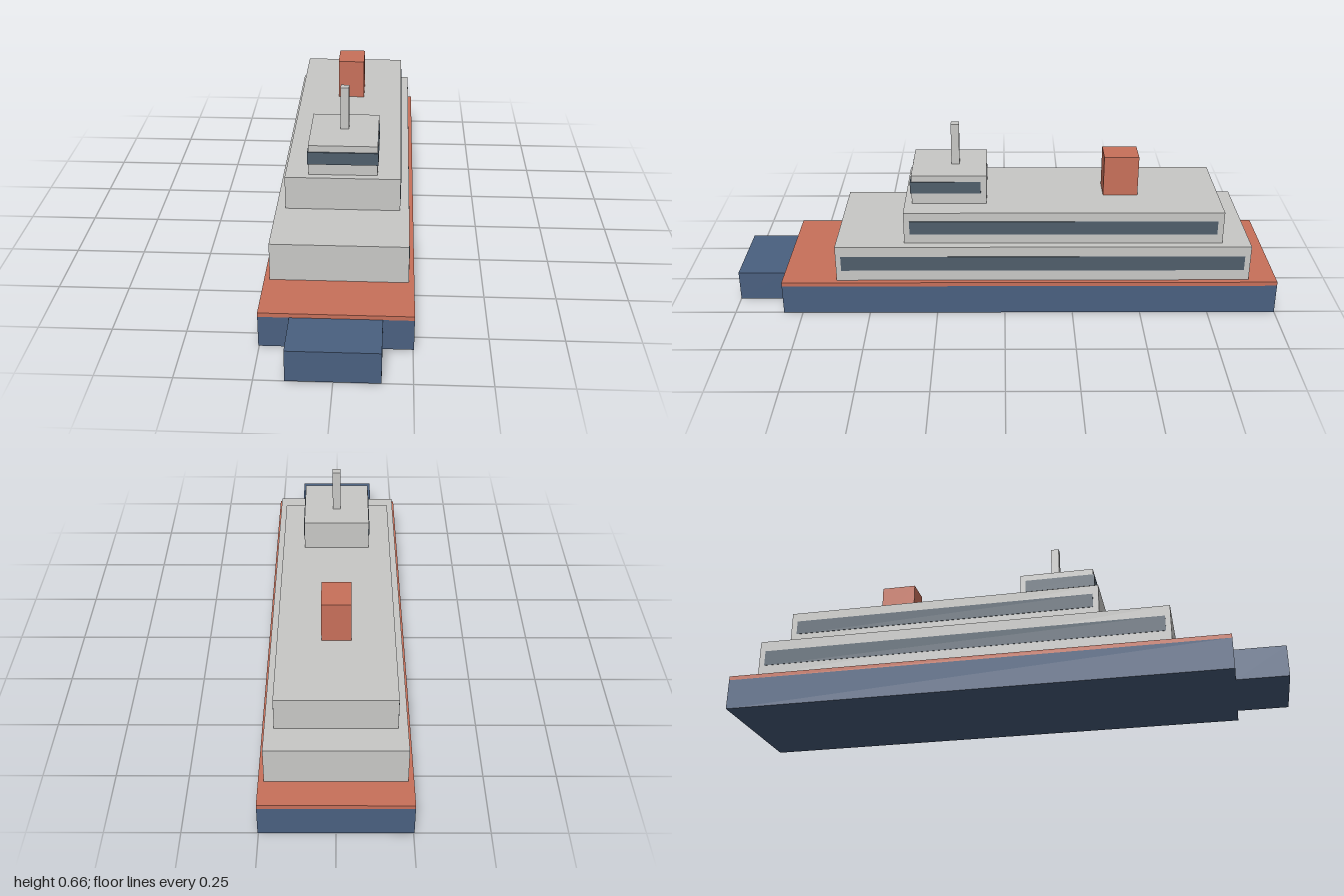
import * as THREE from 'three';

export function createModel() {
  const ship = new THREE.Group();
  ship.name = 'ship';

  const mat = (name, color) => {
    const m = new THREE.MeshStandardMaterial({ color });
    m.name = name;
    return m;
  };
  const navy = mat('hull navy', 0x4a6080);
  const red = mat('deck red', 0xc8705a);
  const grey = mat('cabin grey', 0xc8c8c6);
  const glass = mat('window slate', 0x4f5e6b);

  // Box given by its half width, height range and length range
  const block = (name, material, halfW, y0, y1, z0, z1, x = 0) => {
    const mesh = new THREE.Mesh(new THREE.BoxGeometry(halfW * 2, y1 - y0, z1 - z0), material);
    mesh.position.set(x, (y0 + y1) / 2, (z0 + z1) / 2);
    mesh.name = name;
    ship.add(mesh);
  };

  // Hull, bow and main deck
  block('hull', navy, 0.253, 0, 0.112, -1, 0.82);
  block('bow', navy, 0.151, 0, 0.112, 0.82, 1);
  block('mainDeck', red, 0.253, 0.112, 0.127, -1, 0.82);

  // Stacked superstructure
  block('lowerCabin', grey, 0.234, 0.127, 0.264, -0.897, 0.619);
  block('upperCabin', grey, 0.202, 0.264, 0.386, -0.795, 0.368);
  block('bridge', grey, 0.121, 0.386, 0.497, 0.067, 0.341);

  // Window bands along both sides
  for (const side of [1, -1]) {
    block('lowerWindows', glass, 0.002, 0.168, 0.225, -0.876, 0.6, side * 0.2335);
    block('upperWindows', glass, 0.002, 0.3, 0.352, -0.773, 0.347, side * 0.202);
  }

  // Bridge glazing wraps the front and sides
  block('bridgeWindows', glass, 0.124, 0.427, 0.473, 0.088, 0.346);

  // Funnel and mast
  block('funnel', red, 0.051, 0.386, 0.538, -0.494, -0.366);
  block('mast', grey, 0.015, 0.497, 0.655, 0.168, 0.198);

  return ship;
}
